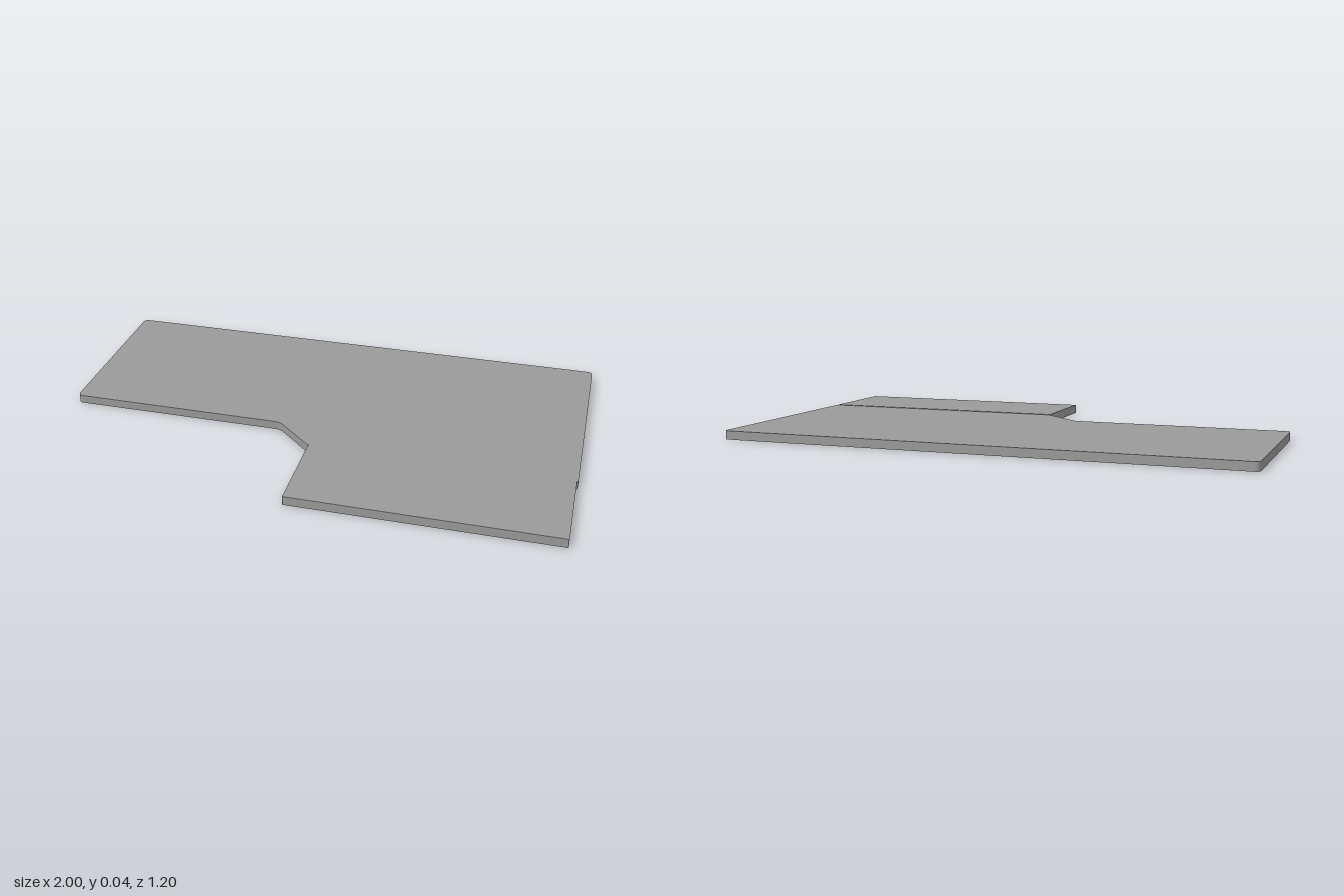
import * as THREE from 'three';

const material = new THREE.MeshStandardMaterial({ color: 0x9a9a9a });

// Closed outline in x/z with each corner rounded by radius r
function outline(points, r, Type = THREE.Shape) {
  const path = new Type();
  const pts = points.map(([x, z]) => new THREE.Vector2(x, z));
  pts.forEach((p, i) => {
    const toward = (q) => p.clone().add(q.clone().sub(p).setLength(r));
    const a = toward(pts[(i + pts.length - 1) % pts.length]);
    const b = toward(pts[(i + 1) % pts.length]);
    if (i === 0) path.moveTo(a.x, a.y);
    else path.lineTo(a.x, a.y);
    path.quadraticCurveTo(p.x, p.y, b.x, b.y);
  });
  path.closePath();
  return path;
}

const rect = (x0, z0, x1, z1) => [[x0, z0], [x1, z0], [x1, z1], [x0, z1]];

// Horizontal slab between two heights, with optional openings
function slab(name, points, r, bottom, top, holes = []) {
  const shape = outline(points, r);
  shape.holes = holes.map((h) => outline(h, 0.008, THREE.Path));
  const geometry = new THREE.ExtrudeGeometry(shape, {
    depth: top - bottom, bevelEnabled: false, curveSegments: 5,
  });
  geometry.rotateX(Math.PI / 2).translate(0, top, 0);
  const mesh = new THREE.Mesh(geometry, material);
  mesh.name = name;
  return mesh;
}

// Plate with pockets sunk into its underside
function plate(name, points, r, height, pocketDepth, pockets) {
  const group = new THREE.Group();
  group.name = name;
  group.add(
    slab(name + 'Top', points, r, pocketDepth, height),
    slab(name + 'Rim', points, r, 0, pocketDepth, pockets),
  );
  return group;
}

export function createModel() {
  const model = new THREE.Group();
  model.name = 'steppedPanel';

  // Wide main plate with a diagonal shoulder
  const mainPoints = [
    [-1, -0.6], [1, -0.6], [1, 0.25], [0, 0.25], [-0.15, 0.114], [-1, 0.114],
  ];
  const mainPocket = [
    [-0.945, -0.545], [0.945, -0.545], [0.945, 0.205], [0.02, 0.205], [-0.13, 0.065], [-0.945, 0.065],
  ];
  model.add(plate('mainPlate', mainPoints, 0.022, 0.033, 0.009, [mainPocket]));

  // Slightly thicker front plate with a slot, a long pocket and a square pocket
  model.add(plate('frontPlate', rect(0, 0.25, 0.993, 0.6), 0.003, 0.035, 0.009, [
    rect(0.29, 0.295, 0.935, 0.312),
    rect(0.29, 0.342, 0.935, 0.53),
    rect(0.02, 0.295, 0.25, 0.58),
  ]));

  return model;
}
